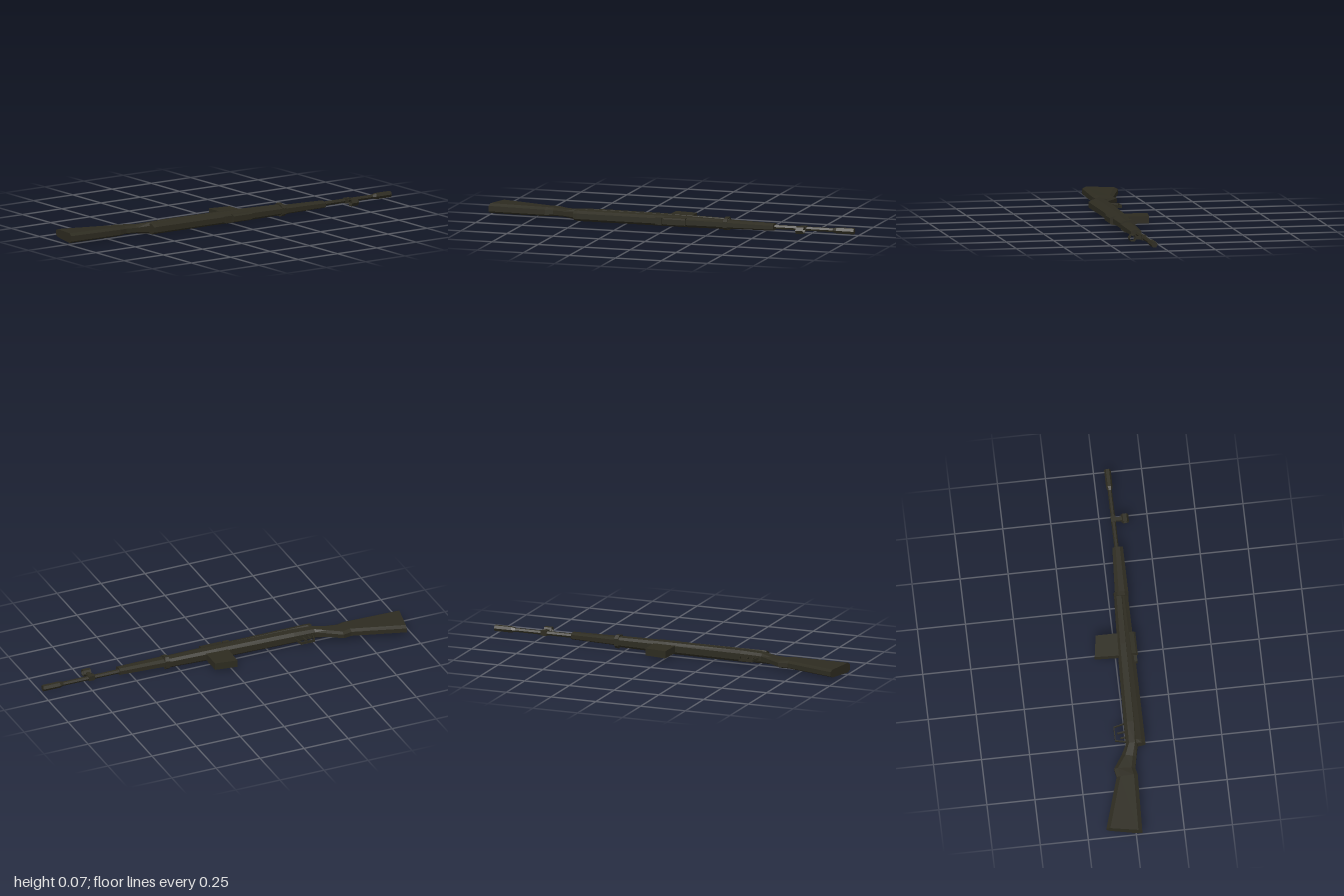
import * as THREE from 'three';

const CY = 0.035; // height of the centre line; the rifle lies on its side
const olive = new THREE.MeshStandardMaterial({ color: 0x2d2b20, flatShading: true, side: THREE.DoubleSide });
olive.name = 'darkOlive';

// Loft of chamfered octagons along x.
// Station: [x at low z, x at high z, low z, high z, half width low, half width high]
function loft(stations, bevel = 0.25, flat = 0.55) {
  const pos = [], idx = [], n = 8;
  for (const [xa, xb, z0, z1, wa, wb] of stations) {
    const c = Math.min((z1 - z0) * bevel, 0.02), k = c / (z1 - z0);
    const ring = [[wa * flat, 0], [wa, k], [wb, 1 - k], [wb * flat, 1],
      [-wb * flat, 1], [-wb, 1 - k], [-wa, k], [-wa * flat, 0]];
    for (const [w, t] of ring) pos.push(xa + (xb - xa) * t, CY + w, z0 + (z1 - z0) * t);
  }
  const last = (stations.length - 1) * n;
  for (let s = 0; s < last; s += n) {
    for (let i = 0; i < n; i++) {
      const j = (i + 1) % n;
      idx.push(s + i, s + j, s + n + i, s + j, s + n + j, s + n + i);
    }
  }
  for (let i = 1; i < n - 1; i++) idx.push(0, i + 1, i, last, last + i, last + i + 1);
  const g = new THREE.BufferGeometry();
  g.setAttribute('position', new THREE.Float32BufferAttribute(pos, 3));
  g.setIndex(idx);
  const out = g.toNonIndexed();
  out.computeVertexNormals();
  return out;
}

export function createModel() {
  const model = new THREE.Group();
  const add = (name, geometry, x = 0, y = 0, z = 0) => {
    const m = new THREE.Mesh(geometry, olive);
    m.name = name;
    m.position.set(x, y, z);
    model.add(m);
    return m;
  };
  const box = (name, x0, x1, z0, z1, half) =>
    add(name, new THREE.BoxGeometry(x1 - x0, half * 2, z1 - z0), (x0 + x1) / 2, CY, (z0 + z1) / 2);
  const rod = (name, x0, x1, r0, r1, z) =>
    add(name, new THREE.CylinderGeometry(r1, r0, x1 - x0, 6).rotateZ(-Math.PI / 2), (x0 + x1) / 2, CY, z);

  // Wooden stock: butt, wrist and body
  add('stock', loft([
    [-0.965, -1, -0.152, 0.031, 0.021, 0.026],
    [-0.69, -0.69, -0.068, 0.042, 0.021, 0.024],
    [-0.642, -0.65, -0.076, 0.034, 0.019, 0.021],
    [-0.57, -0.59, -0.028, 0.046, 0.019, 0.021],
    [-0.515, -0.515, 0.0, 0.062, 0.026, 0.029],
    [-0.4, -0.4, 0.001, 0.07, 0.03, 0.032],
    [0.03, 0.03, 0.016, 0.075, 0.03, 0.032],
    [0.32, 0.32, 0.03, 0.08, 0.025, 0.028],
  ]));

  // Receiver lying along the top of the stock
  add('receiver', loft([
    [-0.52, -0.52, 0.045, 0.1, 0.028, 0.024],
    [-0.5, -0.5, 0.04, 0.101, 0.032, 0.026],
    [0.05, 0.05, 0.04, 0.101, 0.031, 0.025],
    [0.31, 0.31, 0.04, 0.101, 0.027, 0.022],
  ], 0.33));

  // Handguard with its retaining band
  add('handguard', loft([
    [0.3, 0.3, 0.034, 0.105, 0.022, 0.022],
    [0.568, 0.568, 0.05, 0.105, 0.018, 0.018],
  ], 0.3));
  add('handguardBand', loft([
    [0.295, 0.295, 0.028, 0.104, 0.035, 0.03],
    [0.317, 0.317, 0.029, 0.104, 0.035, 0.03],
  ]));

  // Rear block on the receiver top
  box('rearBlock', -0.07, -0.035, 0.08, 0.11, 0.018);
  add('topBlock', loft([
    [-0.025, -0.025, 0.07, 0.116, 0.024, 0.02],
    [0.093, 0.093, 0.07, 0.116, 0.024, 0.02],
  ], 0.2, 0.7));

  // Barrel and muzzle
  rod('barrel', 0.55, 0.92, 0.012, 0.011, 0.072);
  rod('muzzleCollar', 0.885, 0.905, 0.011, 0.017, 0.072);
  rod('muzzle', 0.905, 1, 0.017, 0.017, 0.072);

  // Front sight: post and hexagonal hood
  box('sightBase', 0.708, 0.742, 0.06, 0.085, 0.013);
  box('sightPost', 0.714, 0.734, 0.08, 0.119, 0.008);
  const hood = new THREE.Shape(), hole = new THREE.Path();
  for (let i = 0; i < 6; i++) {
    const a = (i * Math.PI) / 3;
    hood[i ? 'lineTo' : 'moveTo'](0.02 * Math.cos(a), 0.02 * Math.sin(a));
    hole[i ? 'lineTo' : 'moveTo'](0.0165 * Math.cos(a), 0.0165 * Math.sin(a));
  }
  hood.closePath();
  hole.closePath();
  hood.holes.push(hole);
  const hoodGeo = new THREE.ExtrudeGeometry(hood, { depth: 0.042, bevelEnabled: false });
  add('sightHood', hoodGeo.rotateY(Math.PI / 2), 0.704, CY, 0.132);

  // Box magazine, with a sloping floor
  const mag = new THREE.Shape([[-0.03, 0.04], [-0.024, -0.108], [0.094, -0.09], [0.094, 0.04]]
    .map(([x, z]) => new THREE.Vector2(x, -z)));
  add('magazine', new THREE.ExtrudeGeometry(mag, { depth: 0.038, bevelEnabled: false })
    .rotateX(-Math.PI / 2), 0, CY - 0.019, 0);

  // Trigger guard: thin bars along a bent path
  const guard = [[-0.5, 0.005], [-0.487, -0.052], [-0.413, -0.052], [-0.398, 0.005]];
  for (let i = 0; i < 3; i++) {
    const [ax, az] = guard[i], [bx, bz] = guard[i + 1];
    const bar = add('triggerGuard', new THREE.BoxGeometry(Math.hypot(bx - ax, bz - az) + 0.004, 0.014, 0.005),
      (ax + bx) / 2, CY, (az + bz) / 2);
    bar.rotation.y = -Math.atan2(bz - az, bx - ax);
  }

  // Trigger and safety lever
  for (const [name, x, len] of [['trigger', -0.445, 0.038], ['safetyLever', -0.474, 0.025]]) {
    const t = box(name, x - 0.004, x + 0.004, -len, 0.01, 0.005);
    t.rotation.y = 0.15;
  }
  return model;
}
